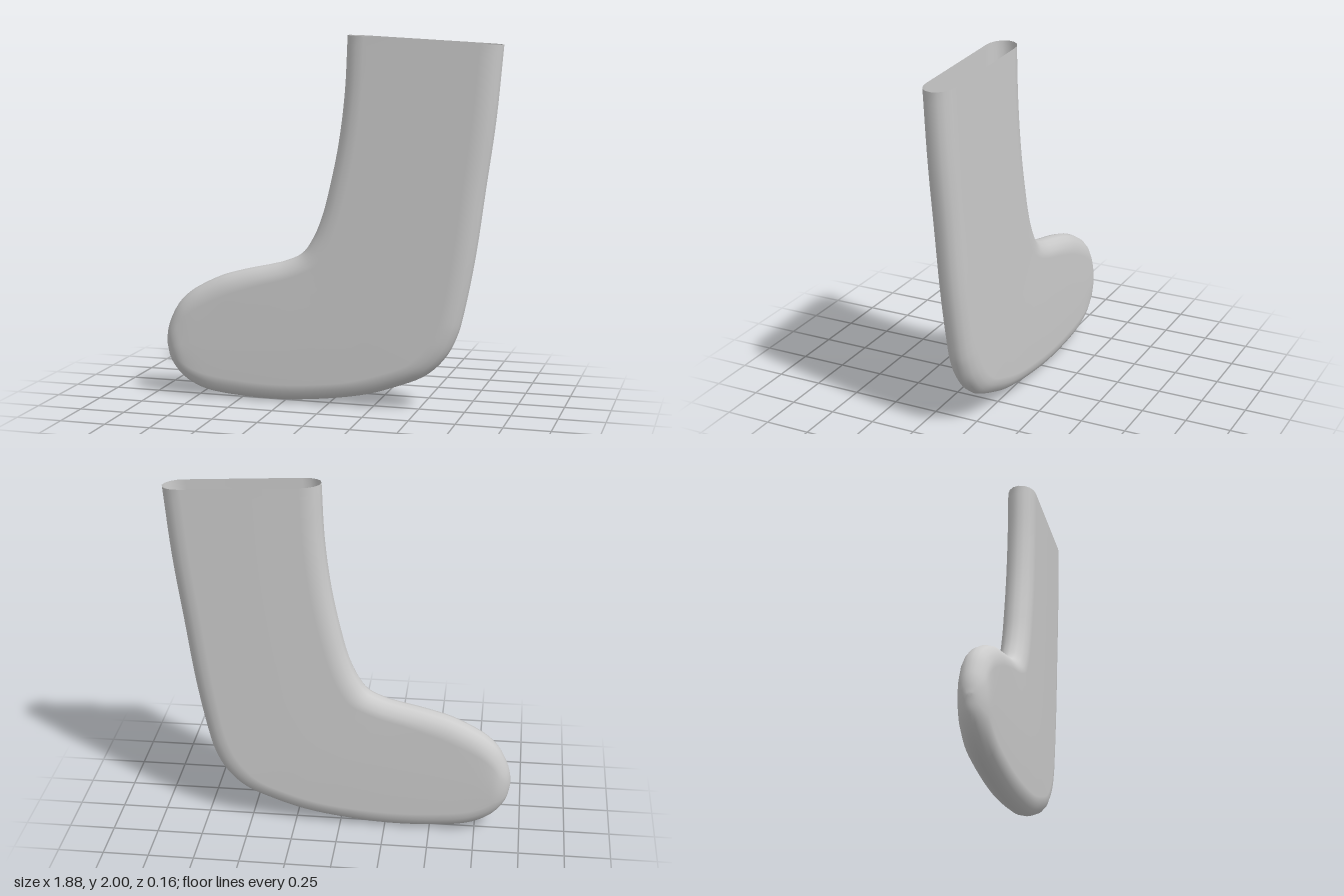
import * as THREE from 'three';
import { mergeVertices } from 'three/addons/utils/BufferGeometryUtils.js';

const HALF_THICKNESS = 0.08, EDGE = 0.1, STEPS = 102;

// Paired outline points from the open cuff to the toe: instep x, y, heel/sole x, y
const STATIONS = [
  [0.1, 2, 0.935, 1.955], [0.085, 1.7, 0.9, 1.57], [0.05, 1.42, 0.85, 1.2],
  [0, 1.18, 0.8, 0.84], [-0.04, 1.03, 0.74, 0.53], [-0.09, 0.91, 0.71, 0.42],
  [-0.15, 0.825, 0.65, 0.3], [-0.24, 0.78, 0.54, 0.19], [-0.33, 0.755, 0.36, 0.11],
  [-0.42, 0.735, 0.2, 0.06], [-0.5, 0.715, 0, 0.025], [-0.6, 0.685, -0.25, 0.002],
  [-0.7, 0.64, -0.5, 0.006], [-0.8, 0.58, -0.7, 0.03], [-0.87, 0.51, -0.8, 0.07],
  [-0.92, 0.41, -0.87, 0.125], [-0.936, 0.35, -0.92, 0.2], [-0.94, 0.285, -0.94, 0.285],
];

function outline(k) {
  const curve = new THREE.CatmullRomCurve3(
    STATIONS.map((s) => new THREE.Vector3(s[k], s[k + 1], 0)), false, 'centripetal');
  return curve.getPoints(STEPS);
}

// Distance from a point to the nearest segment of a polyline
function distanceTo(line, p) {
  const segment = new THREE.Line3(), near = new THREE.Vector3();
  let best = Infinity;
  for (let i = 1; i < line.length; i++) {
    segment.set(line[i - 1], line[i]).closestPointToPoint(p, true, near);
    best = Math.min(best, near.distanceTo(p));
  }
  return best;
}

function sockGeometry() {
  const instep = outline(0), sole = outline(2);
  const positions = [], indices = [];
  const rounding = [0, 0.08, 0.29, 0.62, 1];
  let ring = 0;

  for (let i = 0; i <= STEPS; i++) {
    const a = instep[i], b = sole[i], width = a.distanceTo(b);
    const edge = Math.min(0.3, (EDGE * 1.1) / Math.max(width, 1e-4));
    // Points across the section, dense at both rounded edges
    const across = rounding.map((r) => r * edge);
    across.push(0.5, ...rounding.map((r) => 1 - r * edge).reverse());
    const front = across.map((t) => {
      const p = a.clone().lerp(b, t);
      const d = Math.min(1, Math.min(distanceTo(instep, p), distanceTo(sole, p)) / EDGE);
      p.z = HALF_THICKNESS * Math.sqrt(1 - (1 - d) ** 2);
      return p;
    });
    const back = front.slice(1, -1).reverse().map((p) => new THREE.Vector3(p.x, p.y, -p.z));
    const loop = [...front, ...back];
    ring = loop.length;
    loop.forEach((p) => positions.push(p.x, p.y, p.z));
  }

  for (let i = 0; i < STEPS; i++) {
    for (let j = 0; j < ring; j++) {
      const k = (j + 1) % ring, u = i * ring, d = u + ring;
      indices.push(u + j, d + j, u + k, u + k, d + j, d + k);
    }
  }
  const geometry = new THREE.BufferGeometry();
  geometry.setAttribute('position', new THREE.Float32BufferAttribute(positions, 3));
  geometry.setIndex(indices);
  const merged = mergeVertices(geometry);
  merged.computeVertexNormals();
  return merged;
}

export function createModel() {
  const group = new THREE.Group();
  group.name = 'stocking';
  // Hollow shell, open at the cuff
  const material = new THREE.MeshStandardMaterial({ color: 0xcccccc, side: THREE.DoubleSide });
  const sock = new THREE.Mesh(sockGeometry(), material);
  sock.name = 'sockShell';
  group.add(sock);
  return group;
}
